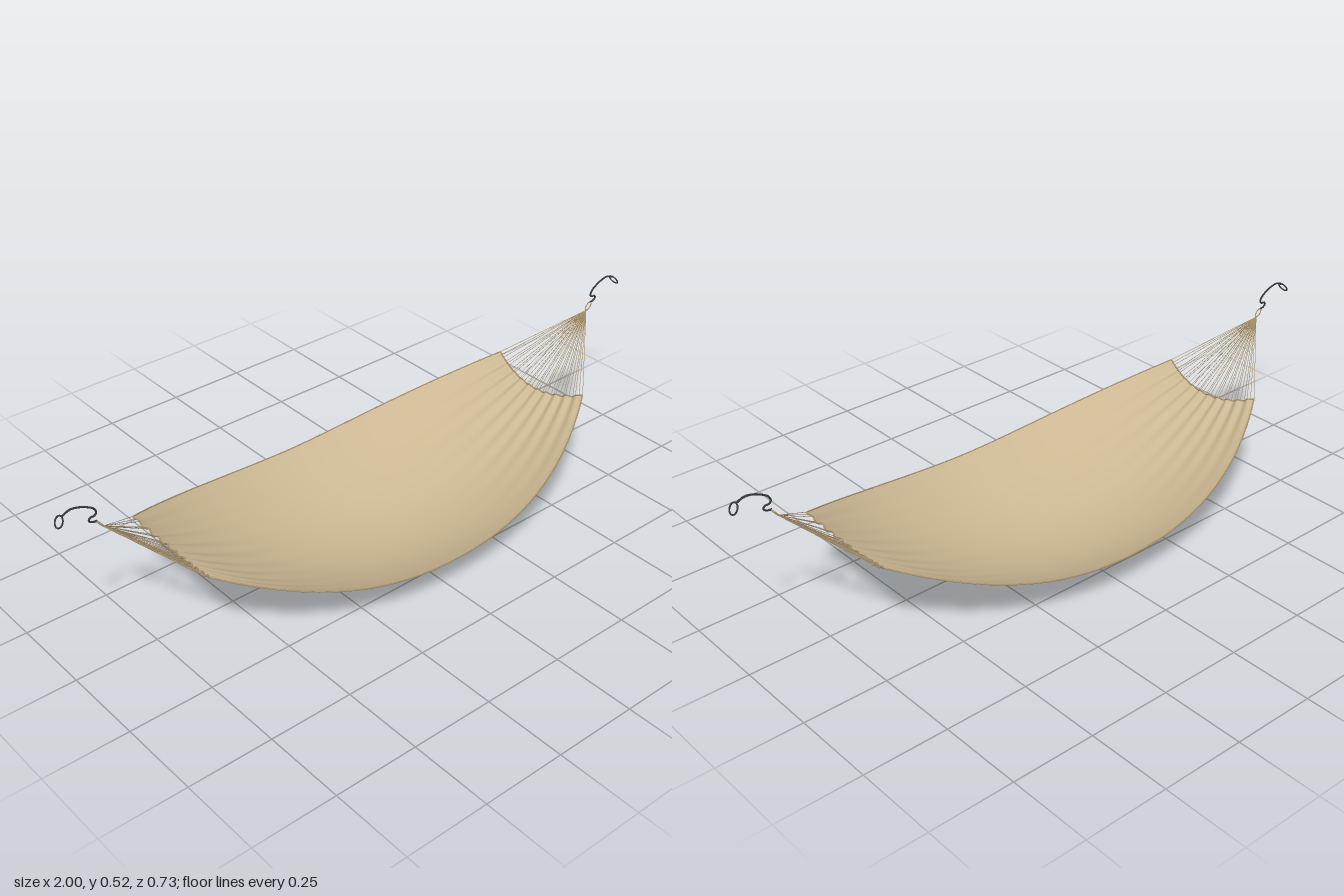
import * as THREE from 'three';

const mat = (name, color, side = THREE.FrontSide) => {
  const m = new THREE.MeshStandardMaterial({ color, side });
  m.name = name;
  return m;
};

// Point on the hanging cloth: u runs along the length, v across, both -1..1
function clothPoint(u, v) {
  const u2 = u * u, v2 = v * v;
  const bottom = 0.234 * u2;
  const edge = 0.112 + 0.165 * u2;
  const fold = -0.0045 * Math.pow(Math.abs(u), 3.5) * Math.cos(10 * Math.PI * v) * (1 - Math.pow(v2, 6));
  return new THREE.Vector3(
    u * (0.66 + 0.025 * v2) - 0.55 * u * fold,
    bottom + (edge - bottom) * v2 + 0.83 * fold,
    v * (0.365 - 0.19 * Math.pow(Math.abs(u), 2.4))
  );
}

export function createModel() {
  const group = new THREE.Group();
  const canvas = mat('canvas', 0xcbb792, THREE.DoubleSide);
  const rope = mat('rope', 0xa8916a);
  const metal = mat('dark metal', 0x34373a);

  const add = (parent, name, geometry, material) => {
    const mesh = new THREE.Mesh(geometry, material);
    mesh.name = name;
    parent.add(mesh);
    return mesh;
  };
  const tube = (points, segments, radius, sides) =>
    new THREE.TubeGeometry(new THREE.CatmullRomCurve3(points), segments, radius, sides);
  const sample = (n, fn) => Array.from({ length: n + 1 }, (_, i) => fn(-1 + (2 * i) / n));

  // Cloth with folds gathering towards both ends
  const cloth = new THREE.PlaneGeometry(2, 2, 80, 160);
  const pos = cloth.attributes.position;
  for (let i = 0; i < pos.count; i++) {
    const p = clothPoint(pos.getX(i), -pos.getY(i));
    pos.setXYZ(i, p.x, p.y, p.z);
  }
  cloth.computeVertexNormals();
  add(group, 'cloth', cloth, canvas);

  // Long side hems
  for (const v of [-1, 1]) {
    add(group, 'sideHem', tube(sample(30, u => clothPoint(u, v)), 80, 0.002, 6), rope);
  }

  // Suspension at each end
  for (const s of [-1, 1]) {
    const end = new THREE.Group();
    end.name = s > 0 ? 'leftSuspension' : 'rightSuspension';
    group.add(end);

    // Scalloped end hem
    add(end, 'endHem', tube(sample(80, v => clothPoint(s, v)), 160, 0.0025, 6), rope);

    // Fan of cords meeting at one point
    const apex = new THREE.Vector3(s * 0.872, 0.429, 0);
    for (const p of sample(32, v => clothPoint(s, v))) {
      add(end, 'cord', new THREE.TubeGeometry(new THREE.LineCurve3(p, apex), 1, 0.0008, 5), rope);
    }

    // Upright rope eye continuing the line of the cords
    const eye = add(end, 'ropeEye', new THREE.TorusGeometry(0.0125, 0.0022, 8, 24), rope);
    eye.scale.set(0.55, 1.1, 1);
    eye.position.set(s * 0.88, 0.441, 0);
    eye.rotation.set(0, Math.PI / 2, -s * 0.7, 'ZYX');

    // Bent hook in the vertical plane
    const path = [[0.886, 0.452], [0.9, 0.454], [0.909, 0.462], [0.904, 0.469], [0.892, 0.47],
      [0.886, 0.478], [0.893, 0.492], [0.911, 0.504], [0.935, 0.514], [0.957, 0.517], [0.98, 0.508]]
      .map(([x, y]) => new THREE.Vector3(s * x, y, 0));
    add(end, 'hook', tube(path, 60, 0.0027, 8), metal);

    // Hanging ring, leaning outwards
    const ring = add(end, 'hangingRing', new THREE.TorusGeometry(0.0155, 0.0022, 8, 32), metal);
    ring.position.set(s * 0.989, 0.496, 0);
    ring.rotation.set(0, Math.PI / 2, s * 0.55, 'ZYX');
  }
  return group;
}
